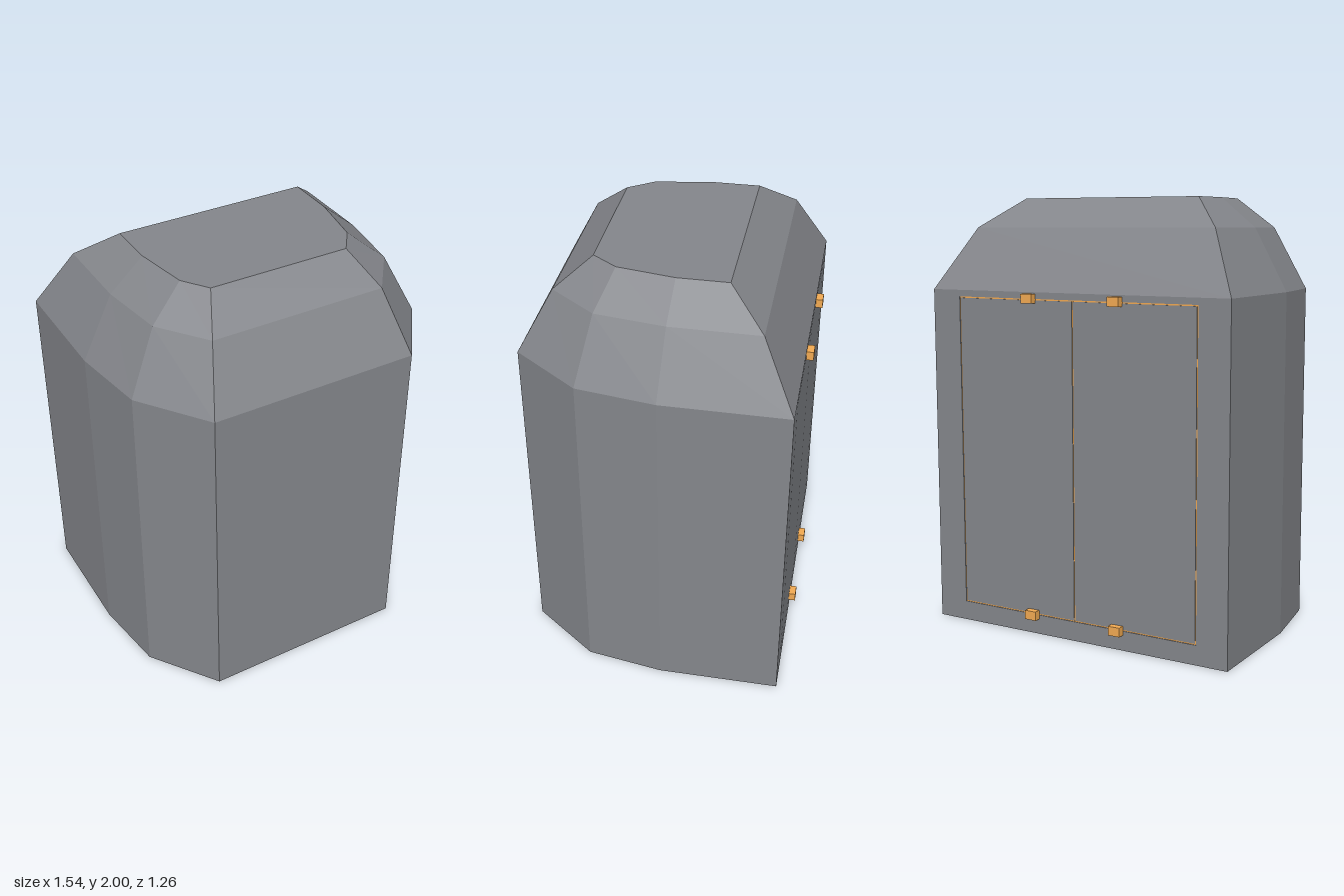
import * as THREE from 'three';

const slate = new THREE.MeshStandardMaterial({ color: 0x84868b, flatShading: true });
const amber = new THREE.MeshStandardMaterial({ color: 0xf2aa52, flatShading: true });

const BACK = -0.6, WALL = 1.58, WIDE = 0.77; // rear wall plane, shoulder height, half width
const DOOR = { x: 0.62, y0: 0.09, y1: 1.55, gap: 0.006 };

// Each level: height and right half of the outline, from back to front
const LEVELS = [
  { y: 0, half: [[WIDE, BACK], [WIDE, -0.035], [0.715, 0.325], [0.49, 0.632]] },
  { y: WALL, half: [[WIDE, BACK], [WIDE, -0.035], [0.715, 0.325], [0.49, 0.632]] },
  { y: 1.865, half: [[0.62, -0.45], [0.62, -0.05], [0.575, 0.265], [0.413, 0.48]] },
  { y: 2, half: [[0.457, -0.287], [0.457, -0.06], [0.412, 0.2], [0.33, 0.315]] },
];

// Faceted shell lofted through the levels; the rear wall is left open for the door frame
function shellGeometry() {
  const rings = LEVELS.map(({ y, half }) => {
    const right = half.map(([x, z]) => [x, y, z]);
    const left = right.map(([x, h, z]) => [-x, h, z]).reverse();
    return [...right, ...left];
  });
  const n = rings[0].length;
  const pos = [];
  const tri = (...points) => points.forEach((p) => pos.push(...p));
  for (let k = 0; k < rings.length - 1; k++) {
    const low = rings[k], high = rings[k + 1];
    for (let i = 0; i < n; i++) {
      const j = (i + 1) % n;
      if (k === 0 && j === 0) continue; // rear wall
      tri(low[i], high[i], high[j]);
      tri(low[i], high[j], low[j]);
    }
  }
  const floor = rings[0], top = rings[rings.length - 1];
  for (let i = 1; i < n - 1; i++) {
    tri(floor[0], floor[i], floor[i + 1]);
    tri(top[0], top[i + 1], top[i]);
  }
  const geometry = new THREE.BufferGeometry();
  geometry.setAttribute('position', new THREE.Float32BufferAttribute(pos, 3));
  geometry.computeVertexNormals();
  return geometry;
}

// Rear wall with a rectangular doorway
function frameGeometry() {
  const rect = (Type, x, y0, y1) => new Type([[-x, y0], [x, y0], [x, y1], [-x, y1]]
    .map(([px, py]) => new THREE.Vector2(px, py)));
  const wall = rect(THREE.Shape, WIDE, 0, WALL);
  wall.holes.push(rect(THREE.Path, DOOR.x, DOOR.y0, DOOR.y1));
  return new THREE.ExtrudeGeometry(wall, { depth: 0.02, bevelEnabled: false }).translate(0, 0, BACK);
}

export function createModel() {
  const model = new THREE.Group();
  const add = (name, geometry, material, x = 0, y = 0, z = 0) => {
    const mesh = new THREE.Mesh(geometry, material);
    mesh.name = name;
    mesh.position.set(x, y, z);
    model.add(mesh);
  };

  add('bodyShell', shellGeometry(), slate);
  add('rearDoorFrame', frameGeometry(), slate);

  // Lining seen through the narrow seams around the doors
  const height = DOOR.y1 - DOOR.y0, midY = (DOOR.y0 + DOOR.y1) / 2;
  add('doorLining', new THREE.BoxGeometry(DOOR.x * 2 + 0.02, height + 0.015, 0.01), amber, 0, midY, BACK + 0.009);

  // Pair of flush doors, each with a clasp at the top and bottom
  const doorWidth = DOOR.x - DOOR.gap * 1.5;
  const door = new THREE.BoxGeometry(doorWidth, height - DOOR.gap * 2, 0.018);
  const clasp = new THREE.BoxGeometry(0.058, 0.042, 0.034);
  for (const [side, s] of [['left', 1], ['right', -1]]) {
    add(side + 'Door', door, slate, s * (DOOR.gap / 2 + doorWidth / 2), midY, BACK + 0.009);
    add(side + 'LowerClasp', clasp, amber, s * 0.225, 0.092, BACK - 0.015);
    add(side + 'UpperClasp', clasp, amber, s * 0.225, 1.552, BACK - 0.015);
  }
  return model;
}
